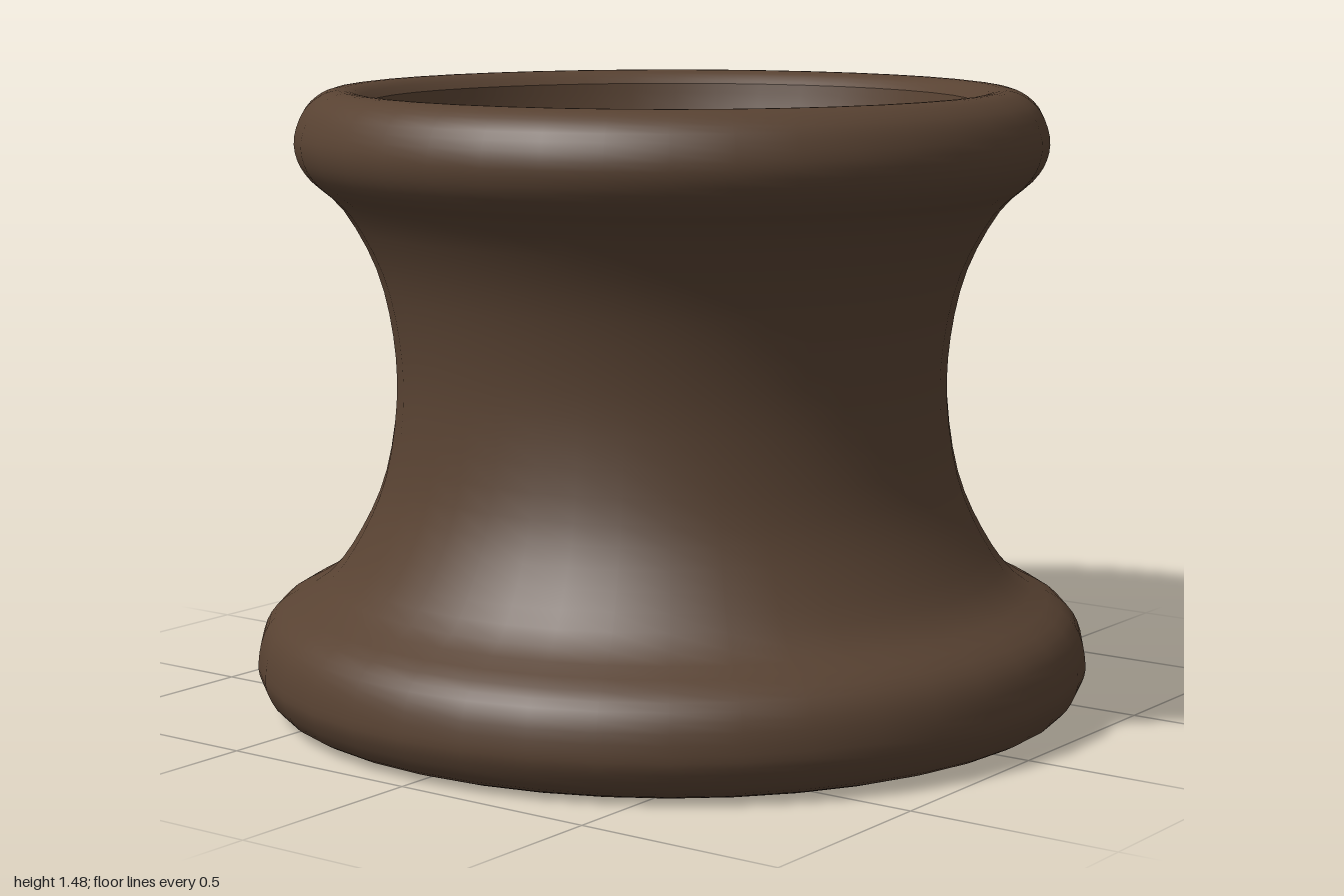
import * as THREE from 'three';

const SEGMENTS = 40;

// Smooth profile of [radius, height] points, sampled through a spline
function smoothProfile(points, samples) {
  const curve = new THREE.SplineCurve(points.map(([r, y]) => new THREE.Vector2(r, y)));
  return curve.getPoints(samples);
}

function lathe(name, points, material, segments = SEGMENTS) {
  const mesh = new THREE.Mesh(new THREE.LatheGeometry(points, segments), material);
  mesh.name = name;
  return mesh;
}

function disc(name, radius, y, facing, material, segments = SEGMENTS) {
  const geometry = new THREE.CircleGeometry(radius, segments);
  geometry.rotateX(-facing * Math.PI / 2);
  const mesh = new THREE.Mesh(geometry, material);
  mesh.name = name;
  mesh.position.y = y;
  return mesh;
}

export function createModel() {
  const group = new THREE.Group();
  group.name = 'flaredVessel';
  const brown = new THREE.MeshStandardMaterial({ color: 0x584232 });
  brown.name = 'dark brown';
  brown.side = THREE.DoubleSide;

  // Rounded foot, narrow waist and rolled rim
  const outside = smoothProfile([
    [0.9, 0], [0.96, 0.025], [0.993, 0.075], [1.0, 0.12], [0.985, 0.19], [0.94, 0.245],
    [0.83, 0.31], [0.75, 0.42], [0.69, 0.56], [0.662, 0.74], [0.668, 0.9], [0.705, 1.06],
    [0.78, 1.2], [0.855, 1.27], [0.887, 1.32], [0.893, 1.375], [0.87, 1.435],
    [0.83, 1.47], [0.79, 1.482], [0.75, 1.475], [0.72, 1.45],
  ], 60);
  group.add(lathe('outerBody', outside, brown));

  // Hollow, narrowing from the rim to the waist
  const inside = smoothProfile([
    [0.72, 1.45], [0.7, 1.36], [0.65, 1.22], [0.575, 1.04], [0.53, 0.88],
    [0.52, 0.74], [0.52, 0.5], [0.52, 0.2],
  ], 20);
  group.add(lathe('innerWall', inside, brown));

  // Inner floor and flat underside
  group.add(disc('innerFloor', 0.52, 0.2, 1, brown));
  group.add(disc('underside', 0.9, 0, -1, brown));

  return group;
}
